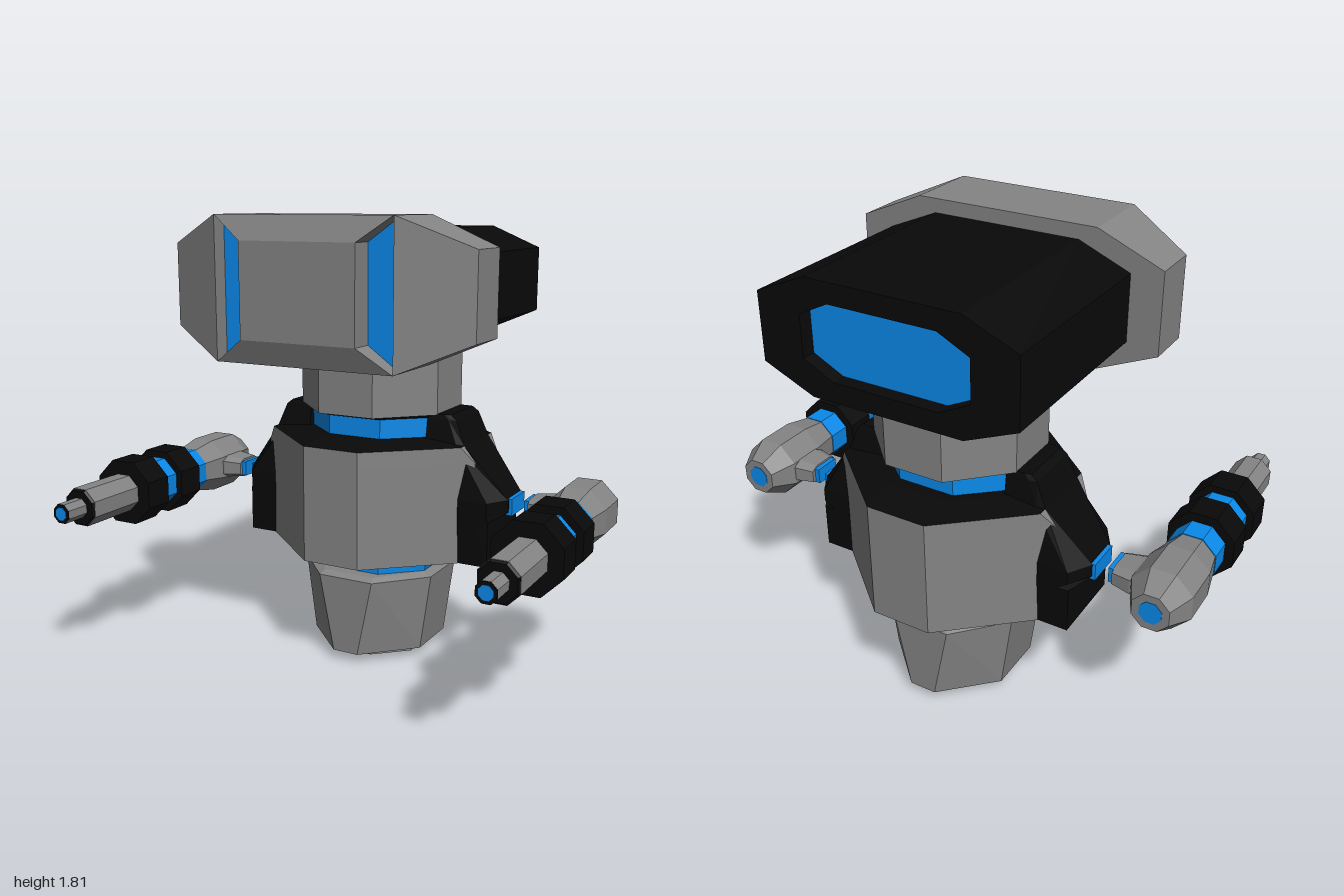
import * as THREE from 'three';

const mat = (color) => new THREE.MeshStandardMaterial({ color, flatShading: true, side: THREE.DoubleSide });
const CZ = -0.27; // depth of the body's centre line

// Closed faceted solid through a list of rings; the winding is turned outward by signed volume
function loft(rings) {
  const tris = [];
  const n = rings[0].length;
  for (let i = 0; i < rings.length - 1; i++) {
    for (let j = 0; j < n; j++) {
      const k = (j + 1) % n;
      const [a, b, c, d] = [rings[i][j], rings[i][k], rings[i + 1][k], rings[i + 1][j]];
      tris.push([a, b, c], [a, c, d]);
    }
  }
  const end = rings[rings.length - 1];
  for (let j = 1; j < n - 1; j++) {
    tris.push([rings[0][0], rings[0][j + 1], rings[0][j]], [end[0], end[j], end[j + 1]]);
  }
  const o = rings[0][0];
  const rel = (p) => new THREE.Vector3(p[0] - o[0], p[1] - o[1], p[2] - o[2]);
  let volume = 0;
  for (const [a, b, c] of tris) volume += rel(a).dot(rel(b).cross(rel(c)));
  const pos = tris.flatMap(([a, b, c]) => (volume < 0 ? [a, c, b] : [a, b, c])).flat();
  const geo = new THREE.BufferGeometry();
  geo.setAttribute('position', new THREE.Float32BufferAttribute(pos, 3));
  geo.computeVertexNormals();
  return geo;
}

// Octagon with half sizes a, b and half flat lengths fa, fb
const oct = (a, b, fa = a * 0.414, fb = b * 0.414) => [
  [a, -fb], [a, fb], [fa, b], [-fa, b], [-a, fb], [-a, -fb], [-fa, -b], [fa, -b],
];
const ringY = (y, a, b, fa, fb) => oct(a, b, fa, fb).map(([x, z]) => [x, y, z + CZ]);
const ringZ = (z, cx, cy, a, b, fa, fb) => oct(a, b, fa, fb).map(([x, y]) => [x + cx, y + cy, z]);

export function createModel() {
  const model = new THREE.Group();
  const grey = mat(0x848484);
  const black = mat(0x090909);
  const blue = mat(0x0a89e9);

  const add = (parent, name, material, rings) => {
    const mesh = new THREE.Mesh(loft(rings), material);
    mesh.name = name;
    parent.add(mesh);
  };

  // Body column, from the foot up to the neck: [name, material, rings of y, a, b, fa, fb]
  const column = [
    ['footLight', blue, [[0.012, 0.13, 0.14], [0.02, 0.13, 0.14]]],
    ['foot', grey, [[0.045, 0.19, 0.2, 0.06, 0.08], [0, 0.19, 0.2, 0.06, 0.08], [0, 0.13, 0.14], [0.015, 0.13, 0.14]]],
    ['hips', grey, [[0.04, 0.25, 0.31, 0.055, 0.12], [0.36, 0.295, 0.31, 0.12, 0.12], [0.375, 0.26, 0.28, 0.11, 0.11]]],
    ['waistBand', blue, [[0.37, 0.255, 0.235, 0.11, 0.1], [0.445, 0.27, 0.235, 0.115, 0.1]]],
    ['waistRim', black, [[0.44, 0.28, 0.26, 0.12, 0.11], [0.454, 0.42, 0.42, 0.12, 0.12]]],
    ['torso', grey, [[0.454, 0.475, 0.43, 0.12, 0.12], [0.86, 0.475, 0.43, 0.12, 0.12], [0.925, 0.43, 0.43, 0.12, 0.16]]],
    ['torsoDeck', black, [[0.925, 0.43, 0.43, 0.12, 0.16], [0.94, 0.3, 0.28, 0.12, 0.12]]],
    ['neckBand', blue, [[0.935, 0.27, 0.235, 0.115, 0.1], [1.025, 0.27, 0.235, 0.115, 0.1]]],
    ['neckRim', black, [[1.02, 0.27, 0.25, 0.115, 0.11], [1.038, 0.3, 0.3, 0.12, 0.12]]],
    ['neck', grey, [[1.036, 0.31, 0.31, 0.12, 0.12], [1.33, 0.31, 0.31, 0.12, 0.12]]],
  ];
  for (const [name, material, rings] of column) add(model, name, material, rings.map((r) => ringY(...r)));

  // Head block with a light sunk into its back
  const HY = 1.54;
  const headRing = (z) => ringZ(z, 0, HY, 0.505, 0.217, 0.3, 0.13);
  const lightRing = (z) => ringZ(z, 0, HY, 0.33, 0.14, 0.21, 0.08);
  add(model, 'head', black, [headRing(0.06), headRing(-0.72), lightRing(-0.72), lightRing(-0.66)]);
  add(model, 'backLight', blue, [lightRing(-0.665), lightRing(-0.655)]);

  // Visor core with a lit floor, and the raised panel in front of it
  const section = (x, h, z) => [[x, HY - h, 0.055], [x, HY - h, z], [x, HY + h, z], [x, HY + h, 0.055]];
  const rect = (w, h, z) => [[-w, HY - h, z], [w, HY - h, z], [w, HY + h, z], [-w, HY + h, z]];
  add(model, 'visorCore', grey, [section(-0.37, 0.272, 0.3), section(0.37, 0.272, 0.3)]);
  add(model, 'visorLights', blue, [rect(0.369, 0.26, 0.295), rect(0.369, 0.26, 0.303)]);
  add(model, 'visorPanel', grey, [rect(0.24, 0.18, 0.295), rect(0.24, 0.18, 0.4)]);

  // Sloped brows above and below the panel
  const browEdge = (w, y, z) => [[-w, y, 0.29], [w, y, 0.29], [w, y, z], [-w, y, z]];
  for (const v of [1, -1]) {
    add(model, v > 0 ? 'upperBrow' : 'lowerBrow', grey, [browEdge(0.24, HY + v * 0.18, 0.4), browEdge(0.37, HY + v * 0.272, 0.365)]);
  }

  for (const s of [1, -1]) {
    const side = new THREE.Group();
    side.name = s > 0 ? 'leftSide' : 'rightSide';
    model.add(side);

    // Tapered end of the visor
    add(side, 'visorCheek', grey, [section(s * 0.37, 0.272, 0.365), section(s * 0.63, 0.16, 0.25)]);

    // Shoulder plate: level sections of y, shoulder x, half depth, outer x, outer half depth
    const plate = [
      [0.455, 0.5, 0.16, 0.55, 0.16],
      [0.635, 0.5, 0.165, 0.55, 0.16],
      [0.665, 0.545, 0.165, 0.6, 0.075],
      [0.715, 0.545, 0.165, 0.6, 0.075],
      [0.925, 0.4, 0.135, 0.43, 0.125],
      [1.02, 0.36, 0.12, 0.39, 0.115],
      [1.04, 0.34, 0.115, 0.365, 0.11],
    ];
    add(side, 'shoulderPlate', black, plate.map(([y, xm, h, xo, g]) => [
      [s * 0.268, y, CZ - h], [s * xm, y, CZ - h], [s * xo, y, CZ - g],
      [s * xo, y, CZ + g], [s * xm, y, CZ + h], [s * 0.268, y, CZ + h],
    ]));

    // Facing joint pads and the arm's connector, as sections of x, half height, half depth
    const AX = 0.873, AY = 0.685;
    const joint = (name, material, flat, list) => add(side, name, material, list.map(([x, h, d]) =>
      oct(h, d, h * flat, d * flat).map(([y, z]) => [s * x, AY + y, z - 0.275])));
    joint('shoulderPad', blue, 0.96, [[0.59, 0.035, 0.07], [0.613, 0.035, 0.07]]);
    joint('armPad', blue, 0.96, [[0.657, 0.032, 0.055], [0.69, 0.032, 0.055]]);
    joint('armConnector', grey, 0.6, [[0.677, 0.04, 0.07], [0.75, 0.048, 0.085], [0.85, 0.06, 0.085]]);

    // Arm barrel from tail to tip: [name, material, [z, half width]...]
    const arm = [
      ['armTailLight', blue, [-0.457, 0.042], [-0.44, 0.042]],
      ['armTail', grey, [-0.455, 0.07], [-0.36, 0.115], [-0.2, 0.115], [-0.085, 0.092]],
      ['armBandRear', blue, [-0.085, 0.095], [0.015, 0.095]],
      ['armCollarRear', black, [0.01, 0.13], [0.135, 0.13]],
      ['armBandFront', blue, [0.13, 0.102], [0.23, 0.102]],
      ['armCollarFront', black, [0.225, 0.13], [0.352, 0.13]],
      ['armBarrel', grey, [0.345, 0.074], [0.608, 0.074]],
      ['armBarrelCap', black, [0.606, 0.074], [0.616, 0.066]],
      ['armTip', grey, [0.61, 0.038], [0.713, 0.038]],
      ['armTipCap', black, [0.712, 0.038], [0.716, 0.037]],
      ['armTipLight', blue, [0.71, 0.025], [0.718, 0.025]],
    ];
    for (const [name, material, ...rings] of arm) {
      add(side, name, material, rings.map(([z, r]) => ringZ(z, s * AX, AY, r, r)));
    }
  }
  return model;
}
